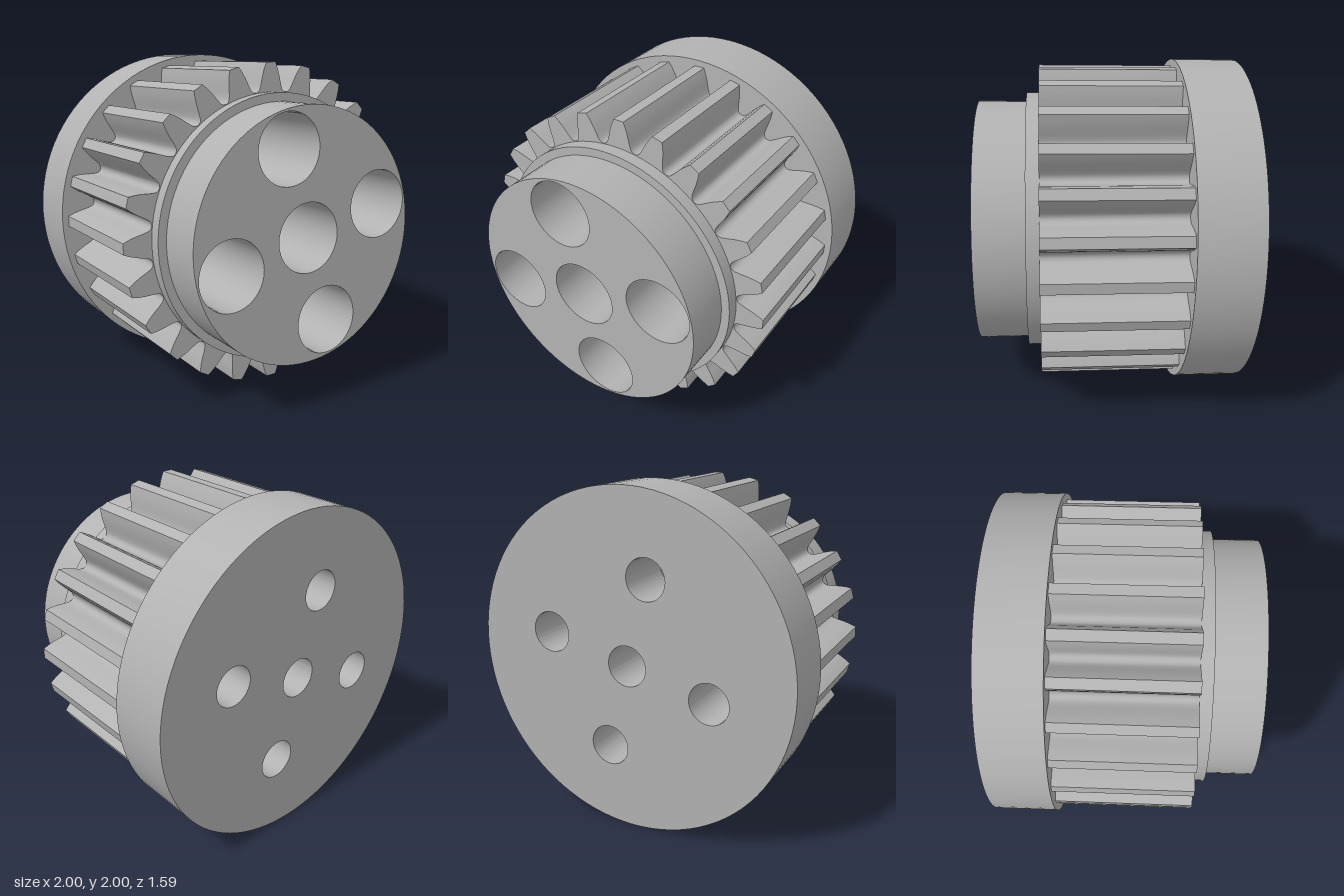
import * as THREE from 'three';
import { toCreasedNormals } from 'three/addons/utils/BufferGeometryUtils.js';

const metal = new THREE.MeshStandardMaterial({ color: 0xb2b2b2 });
metal.name = 'grey metal';

const BOLT_RADIUS = 0.523, BOLT_ANGLE = 0.26; // circle of four holes around the centre
const BORE = 0.203, THROUGH = 0.12;           // wide and narrow hole radii
const TEETH = 24;

function disc(radius) {
  return new THREE.Shape().absarc(0, 0, radius, 0, Math.PI * 2, false);
}

// Outline of the gear: half a tooth as [radius, half angle], mirrored and repeated
function gearShape() {
  const flank = [[0.792, 0.125], [0.797, 0.108], [0.81, 0.095], [0.84, 0.081],
    [0.883, 0.066], [0.92, 0.051], [0.957, 0.033]];
  const points = [];
  for (let i = 0; i < TEETH; i++) {
    const mid = (i / TEETH) * Math.PI * 2;
    const tooth = [
      ...flank.map(([r, a]) => [r, mid - a]),
      ...[...flank].reverse().map(([r, a]) => [r, mid + a]),
    ];
    for (const [r, a] of tooth) points.push(new THREE.Vector2(r * Math.cos(a), r * Math.sin(a)));
  }
  return new THREE.Shape(points);
}

// Extrude an outline from back to front with the five holes cut through it
function slab(name, shape, back, front, holeRadius) {
  const centres = [[0, 0]];
  for (let k = 0; k < 4; k++) {
    const a = BOLT_ANGLE + (k * Math.PI) / 2;
    centres.push([BOLT_RADIUS * Math.cos(a), BOLT_RADIUS * Math.sin(a)]);
  }
  for (const [x, y] of centres) {
    shape.holes.push(new THREE.Path().absarc(x, y, holeRadius, 0, Math.PI * 2, true));
  }
  const geometry = new THREE.ExtrudeGeometry(shape, {
    depth: front - back, bevelEnabled: false, curveSegments: 48,
  });
  geometry.translate(0, 0, back);
  const mesh = new THREE.Mesh(toCreasedNormals(geometry, 0.6), metal);
  mesh.name = name;
  return mesh;
}

export function createModel() {
  const gear = new THREE.Group();
  gear.name = 'gear';
  gear.add(
    slab('flange', disc(0.996), -0.771, -0.4, THROUGH),
    slab('toothedRing', gearShape(), -0.4, 0.412, BORE),
    slab('collar', disc(0.788), 0.412, 0.487, BORE),
    slab('hub', disc(0.738), 0.487, 0.777, BORE),
  );

  // The whole part leans very slightly up and to its left
  const axis = new THREE.Vector3(0.0125, 0.021, 1).normalize();
  gear.quaternion.setFromUnitVectors(new THREE.Vector3(0, 0, 1), axis);
  gear.position.set(0.0073, 1.0123, 0);

  const model = new THREE.Group();
  model.name = 'model';
  model.add(gear);
  return model;
}
